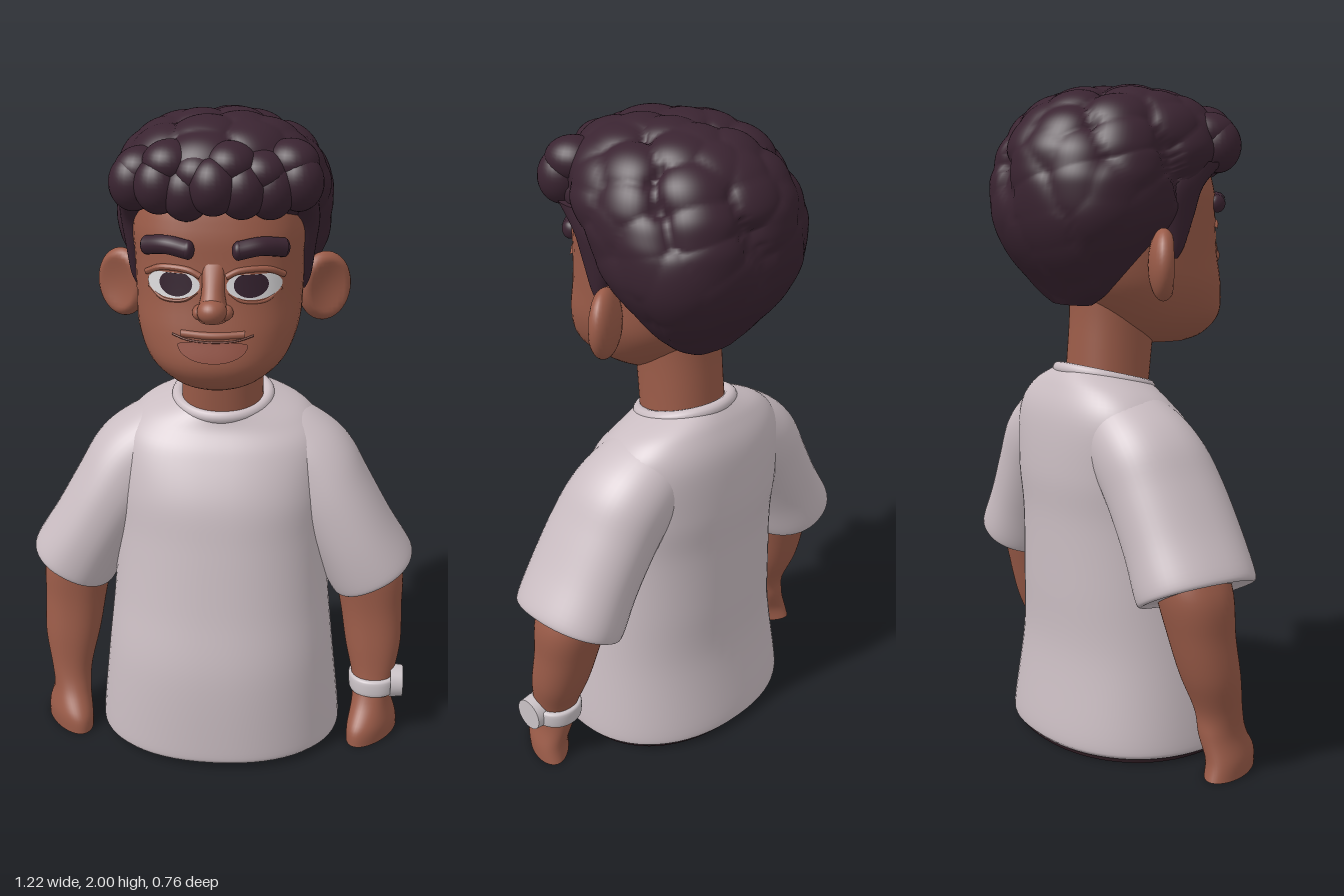
import * as THREE from 'three';

const paint = (name, color) => {
  const m = new THREE.MeshStandardMaterial({ color });
  m.name = name;
  return m;
};

// Section = [y, centreX, centreZ, radiusX, radiusZ, roundness, forwardTilt, inwardSkew], smoothly interpolated
function sectionAt(sections, t) {
  const f = t * (sections.length - 1);
  const i = Math.min(Math.floor(f), sections.length - 2), u = f - i;
  const at = (k) => sections[Math.max(0, Math.min(sections.length - 1, k))];
  return [0, 1, 2, 3, 4, 5, 6, 7].map((c) => {
    const [a, b, d, e] = [at(i - 1), at(i), at(i + 1), at(i + 2)].map((s) => s[c] ?? (c === 5 ? 2.2 : 0));
    return b + 0.5 * u * (d - a + u * (2 * a - 5 * b + 4 * d - e + u * (3 * (b - d) + e - a)));
  });
}

// Closed smooth body through a stack of superellipse sections
function loft(sections, rings = 40, segs = 48) {
  const pos = [], index = [];
  for (let i = 0; i <= rings; i++) {
    const [y, cx, cz, rx, rz, n, tilt, skew] = sectionAt(sections, i / rings);
    for (let j = 0; j < segs; j++) {
      const a = (j / segs) * Math.PI * 2, c = Math.cos(a), s = Math.sin(a);
      const dz = rz * Math.sign(s) * Math.abs(s) ** (2 / n);
      pos.push(cx + rx * Math.sign(c) * Math.abs(c) ** (2 / n) - dz * skew, y - dz * tilt, cz + dz);
    }
  }
  for (let i = 0; i < rings; i++) for (let j = 0; j < segs; j++) {
    const a = i * segs + j, b = i * segs + ((j + 1) % segs);
    index.push(a, a + segs, b, b, a + segs, b + segs);
  }
  for (const top of [false, true]) {
    const from = top ? rings * segs : 0, start = pos.length / 3;
    const [y, cx, cz] = sections[top ? sections.length - 1 : 0];
    for (let j = 0; j < segs; j++) pos.push(...pos.slice((from + j) * 3, (from + j) * 3 + 3));
    pos.push(cx, y, cz);
    for (let j = 0; j < segs; j++) {
      const a = start + j, b = start + ((j + 1) % segs);
      index.push(start + segs, top ? b : a, top ? a : b);
    }
  }
  return buffer(pos, index);
}

function buffer(pos, index) {
  const g = new THREE.BufferGeometry();
  g.setAttribute('position', new THREE.Float32BufferAttribute(pos, 3));
  g.setIndex(index);
  g.computeVertexNormals();
  return g;
}

const ball = (x, y, z, rx, ry, rz, turn = 0) =>
  new THREE.SphereGeometry(1, 28, 20).scale(rx, ry, rz).rotateY(turn).translate(x, y, z);

function mirrored(geo) {
  const g = geo.clone().scale(-1, 1, 1), ix = g.index.array;
  for (let i = 0; i < ix.length; i += 3) [ix[i], ix[i + 1]] = [ix[i + 1], ix[i]];
  g.computeVertexNormals();
  return g;
}

const HEAD = [
  [1.225, 0, 0.14, 0.07, 0.1, 2.3], [1.25, 0, 0.135, 0.132, 0.155, 2.3], [1.31, 0, 0.12, 0.198, 0.207, 2.4],
  [1.4, 0, 0.075, 0.237, 0.243, 2.5], [1.5, 0, 0.045, 0.246, 0.255, 2.5], [1.6, 0, 0.04, 0.25, 0.25, 2.5],
  [1.7, 0, 0.03, 0.255, 0.25, 2.5], [1.8, 0, 0.02, 0.22, 0.22, 2.4], [1.86, 0, 0, 0.1, 0.1, 2.2],
];

// Depth of the face surface at a given x, y
function faceZ(x, y) {
  let lo = 0, hi = 1;
  for (let k = 0; k < 24; k++) {
    const mid = (lo + hi) / 2;
    if (sectionAt(HEAD, mid)[0] < y) lo = mid; else hi = mid;
  }
  const [, , cz, rx, rz, n] = sectionAt(HEAD, lo);
  return cz + rz * Math.max(0, 1 - Math.abs(x / rx) ** n) ** (1 / n);
}

// Thin painted plate following the face
function facePatch(cx, cy, outline, off) {
  const pos = [cx, cy, faceZ(cx, cy) + off], index = [], rings = 6, segs = 32;
  for (let i = 1; i <= rings; i++) for (let j = 0; j < segs; j++) {
    const [dx, dy] = outline((j / segs) * Math.PI * 2);
    const x = cx + (dx * i) / rings, y = cy + (dy * i) / rings;
    pos.push(x, y, faceZ(x, y) + off);
  }
  for (let j = 0; j < segs; j++) {
    const k = (j + 1) % segs;
    index.push(0, 1 + j, 1 + k);
    for (let i = 0; i < rings - 1; i++) {
      const a = 1 + i * segs + j, b = 1 + i * segs + k;
      index.push(a, a + segs, b, b, a + segs, b + segs);
    }
  }
  return buffer(pos, index);
}

// Tube laid along the face through x, y points
function faceTube(points, r, off) {
  const pts = points.map(([x, y]) => new THREE.Vector3(x, y, faceZ(x, y) + off));
  return new THREE.TubeGeometry(new THREE.CatmullRomCurve3(pts), 24, r, 12);
}

// Rounded curls: domes around evenly spread directions
function curl(geo) {
  const seeds = [], count = 95, p = geo.attributes.position, v = new THREE.Vector3(), d = new THREE.Vector3();
  for (let i = 0; i < count; i++) {
    const y = 1 - (2 * i + 1) / count, r = Math.sqrt(1 - y * y), a = i * 2.39996 + 0.25 * Math.sin(i * 7.3);
    seeds.push(new THREE.Vector3(r * Math.cos(a), y, r * Math.sin(a)));
  }
  for (let i = 0; i < p.count; i++) {
    v.fromBufferAttribute(p, i);
    d.copy(v).sub(new THREE.Vector3(0, 1.68, -0.03)).normalize();
    const near = Math.min(...seeds.map((s) => s.distanceToSquared(d)));
    const dome = Math.sqrt(Math.max(0, 1 - near / 0.09));
    const w = 0.2 + 0.8 * THREE.MathUtils.smoothstep(v.y, 1.6, 1.78);
    v.addScaledVector(d, 0.042 * w * (dome - 0.82));
    p.setXYZ(i, v.x, v.y, v.z);
  }
  geo.computeVertexNormals();
  return geo;
}

export function createModel() {
  const skin = paint('skin', 0x9a5b48), shirt = paint('shirt cloth', 0xcabdc2), hair = paint('hair', 0x3a2431);
  const trousers = paint('trousers', 0x2a191f), white = paint('eye white', 0xdcdadc), iris = paint('iris', 0x35222f);
  const lip = paint('lip', 0x99584a), line = paint('mouth line', 0x78453a), metal = paint('watch', 0xcac2c6);
  const model = new THREE.Group();
  model.name = 'bust';
  const add = (name, geo, mat) => {
    const m = new THREE.Mesh(geo, mat);
    m.name = name;
    model.add(m);
  };
  const pair = (name, geo, mat) => {
    add(name + 'Left', geo, mat);
    add(name + 'Right', mirrored(geo), mat);
  };

  // Shirt body, collar and waist
  add('shirtBody', loft([
    [0.012, 0, 0.02, 0.365, 0.3], [0.018, 0, 0.02, 0.385, 0.316], [0.06, 0, 0.02, 0.39, 0.322], [0.3, 0, 0.03, 0.365, 0.3],
    [0.5, 0, 0.01, 0.345, 0.28], [0.7, 0, -0.01, 0.333, 0.262], [0.85, 0, -0.03, 0.332, 0.25, 2.3],
    [1.0, 0, -0.055, 0.32, 0.213, 2.4, 0.08], [1.08, 0, -0.06, 0.26, 0.172, 2.3, 0.18], [1.13, 0, -0.05, 0.15, 0.145, 2, 0.22],
  ], 60, 64), shirt);
  add('collar', new THREE.TorusGeometry(0.142, 0.02, 12, 48).rotateX(Math.PI / 2).rotateX(0.24).translate(0, 1.12, -0.05), shirt);
  add('waist', loft([[0, 0, 0.01, 0.37, 0.292], [0.05, 0, 0.01, 0.37, 0.292]], 2, 64), trousers);

  // Sleeves
  pair('sleeve', loft([
    [0.005, 0, 0, 0.118, 0.155], [0, 0, 0, 0.137, 0.178], [0.03, 0, 0, 0.144, 0.186], [0.15, -0.005, 0, 0.138, 0.184],
    [0.3, -0.014, -0.01, 0.14, 0.18], [0.42, -0.03, -0.025, 0.149, 0.172], [0.52, -0.07, -0.035, 0.15, 0.157],
    [0.62, -0.125, -0.045, 0.125, 0.13], [0.68, -0.18, -0.05, 0.06, 0.08],
  ]).rotateZ(0.468).translate(0.488, 0.543, -0.035), shirt);

  // Arms and hands, the fists turned inward
  pair('arm', loft([
    [0, 0.502, 0.075, 0.07, 0.113, 1.9, 0, 0.42], [0.05, 0.5, 0.077, 0.07, 0.102, 2, 0, 0.38], [0.12, 0.498, 0.05, 0.062, 0.08, 2.2, 0, 0.15],
    [0.19, 0.499, 0.035, 0.067, 0.07], [0.3, 0.497, 0.005, 0.09, 0.085], [0.42, 0.487, -0.02, 0.1, 0.095],
    [0.55, 0.47, -0.035, 0.112, 0.108], [0.68, 0.42, -0.035, 0.1, 0.1],
  ]), skin);

  // Watch on the left wrist
  add('watchStrap', loft([
    [0.143, 0.502, 0.035, 0.068, 0.074], [0.15, 0.502, 0.035, 0.078, 0.085],
    [0.192, 0.502, 0.033, 0.08, 0.085], [0.2, 0.502, 0.033, 0.07, 0.074],
  ], 12), metal);
  add('watchCase', new THREE.CylinderGeometry(0.051, 0.055, 0.04, 32).rotateZ(-Math.PI / 2).translate(0.577, 0.176, 0.052), metal);

  // Neck and head
  add('neck', loft([
    [1.05, 0, -0.045, 0.13, 0.125], [1.2, 0, -0.03, 0.125, 0.128], [1.32, 0, -0.02, 0.125, 0.13], [1.45, 0, -0.02, 0.13, 0.13],
  ], 16), skin);
  add('head', loft(HEAD), skin);

  // Ears with a hollow front
  const ear = ball(0, 0, 0, 0.088, 0.105, 0.045), ep = ear.attributes.position;
  for (let i = 0; i < ep.count; i++) {
    const r = Math.hypot(ep.getX(i) / 0.088, ep.getY(i) / 0.105);
    if (ep.getZ(i) > 0) ep.setZ(i, ep.getZ(i) - 0.03 * Math.max(0, 1 - (r / 0.8) ** 2));
  }
  ear.computeVertexNormals();
  pair('ear', ear.rotateY(0.52).translate(0.307, 1.475, -0.037), skin);

  // Nose
  add('noseBridge', loft([[1.455, 0, 0.305, 0.038, 0.05], [1.49, 0, 0.31, 0.04, 0.058],
    [1.54, 0, 0.295, 0.032, 0.038], [1.61, 0, 0.27, 0.034, 0.02]], 16, 24), skin);
  add('noseTip', ball(0, 1.487, 0.335, 0.042, 0.036, 0.045), skin);
  pair('nostril', ball(0.035, 1.478, 0.31, 0.023, 0.022, 0.034), skin);

  // Eyes, lids and brows
  const flatTop = (w, h, cut) => (a) => [w * Math.cos(a), Math.min(cut, h * Math.sin(a))];
  pair('eyeWhite', facePatch(0.114, 1.55, flatTop(0.077, 0.04, 0.032), 0.003), white);
  pair('iris', facePatch(0.106, 1.553, flatTop(0.048, 0.036, 0.029), 0.006), iris);
  pair('upperLid', faceTube([[0.036, 1.575], [0.07, 1.591], [0.15, 1.593], [0.195, 1.572]], 0.009, 0), skin);
  pair('lowerLid', faceTube([[0.045, 1.531], [0.08, 1.507], [0.145, 1.505], [0.188, 1.535]], 0.005, -0.002), skin);
  pair('brow', faceTube([[0.07, 1.65], [0.13, 1.66], [0.193, 1.65]], 0.027, 0.01), hair);
  for (const [x, y] of [[0.07, 1.65], [0.193, 1.65]])
    pair('browEnd', ball(x, y, faceZ(x, y) + 0.01, 0.018, 0.027, 0.027), hair);

  // Mouth with a broad, closed smile
  add('upperLip', faceTube([[-0.09, 1.414], [0, 1.41], [0.09, 1.414]], 0.012, -0.005), skin);
  add('lowerLip', facePatch(0, 1.385, (a) => [0.1 * Math.cos(a), (Math.sin(a) > 0 ? 0.012 : 0.052) * Math.sin(a)], 0.005), lip);
  add('mouthLine', faceTube([[-0.115, 1.412], [-0.07, 1.399], [0, 1.394], [0.07, 1.399], [0.115, 1.412]], 0.003, 0.004), line);

  // Curly hair, two fringe rows and sideburns
  add('hair', curl(loft([
    [1.35, 0, -0.16, 0.09, 0.04, 2.3], [1.4, 0, -0.16, 0.175, 0.08, 2.4], [1.5, 0, -0.155, 0.258, 0.165, 2.4],
    [1.6, 0, -0.125, 0.312, 0.24, 2.4], [1.7, 0, -0.09, 0.322, 0.285, 2.3], [1.76, 0, -0.045, 0.32, 0.325, 2.2],
    [1.82, 0, -0.015, 0.312, 0.342, 2.1], [1.9, 0, 0, 0.272, 0.3, 2.1], [1.96, 0, 0.01, 0.2, 0.225, 2],
    [1.99, 0, 0.01, 0.1, 0.12, 2], [1.997, 0, 0.01, 0.01, 0.01, 2],
  ], 90, 128)), hair);
  for (let i = -3; i <= 3; i++) {
    const x = i * 0.077, wave = 0.012 * Math.sin(i * 2.3 + 1);
    add('fringeCurl', ball(x, 1.815 + wave, 0.284 - 1.5 * x * x + wave, 0.07, 0.08, 0.07, x * 2), hair);
  }
  for (let i = -2.5; i <= 2.5; i++) {
    const x = i * 0.083, wave = 0.012 * Math.sin(i * 3.1);
    add('upperFringeCurl', ball(x, 1.866 + wave, 0.252 - 1.5 * x * x, 0.078, 0.065, 0.085, x * 2), hair);
  }
  pair('sideburn', loft([
    [1.49, 0.243, 0.045, 0.008, 0.01], [1.53, 0.241, 0.05, 0.026, 0.028], [1.62, 0.242, 0.055, 0.038, 0.055],
    [1.7, 0.245, 0.07, 0.045, 0.068], [1.77, 0.23, 0.12, 0.055, 0.1],
  ], 24, 28), hair);
  return model;
}
